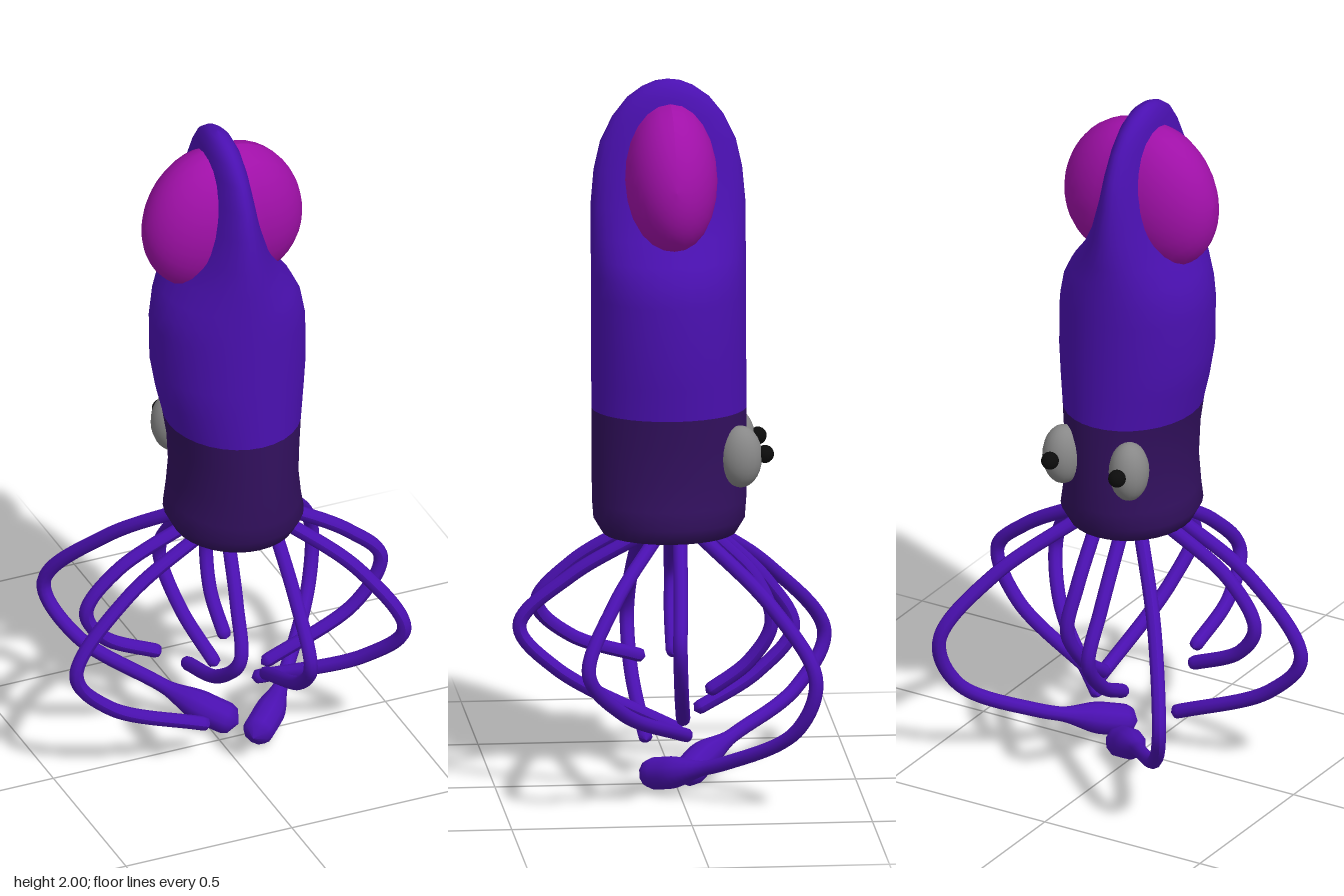
import * as THREE from 'three';

const mat = (color, side = THREE.FrontSide) => new THREE.MeshStandardMaterial({ color, side, roughness: 0.8 });
const purple = mat(0x4a10b0);
const darkPurple = mat(0x32105e);
const magenta = mat(0xa010a8, THREE.DoubleSide);
const eyeGrey = mat(0x888888);
const black = mat(0x0c0c0c);

function add(parent, name, geometry, material) {
  const mesh = new THREE.Mesh(geometry, material);
  mesh.name = name;
  parent.add(mesh);
  return mesh;
}

// Body rings, bottom to top: y, centre x, half width, half depth
const RINGS = [
  [0.715, 0.033, 0, 0], [0.715, 0.033, 0.12, 0.14], [0.728, 0.033, 0.17, 0.185],
  [0.77, 0.033, 0.192, 0.21], [0.82, 0.033, 0.182, 0.214], [0.9, 0.033, 0.173, 0.215],
  [1.0, 0.032, 0.178, 0.215], [1.08, 0.028, 0.188, 0.215], [1.17, 0.021, 0.204, 0.215],
  [1.26, 0.016, 0.216, 0.215], [1.4, 0.014, 0.216, 0.215], [1.46, 0.012, 0.206, 0.215],
  [1.51, 0.008, 0.185, 0.215], [1.57, 0, 0.147, 0.215], [1.65, -0.003, 0.108, 0.215],
  [1.75, -0.007, 0.08, 0.206], [1.83, -0.007, 0.063, 0.188], [1.9, -0.007, 0.052, 0.154],
  [1.95, -0.01, 0.044, 0.114], [1.98, -0.012, 0.032, 0.072], [1.994, -0.014, 0.018, 0.038],
  [2.0, -0.015, 0, 0],
];
const COLOUR_RING = 7; // the head ends and the mantle starts here
const SIDES = 32;
const BODY_Z = 0.02;

function addBody(group) {
  const positions = [];
  for (const [y, cx, rx, rz] of RINGS) {
    for (let j = 0; j < SIDES; j++) {
      const a = (j / SIDES) * Math.PI * 2;
      positions.push(cx + rx * Math.sin(a), y, BODY_Z + rz * Math.cos(a));
    }
  }
  const strip = (from, to) => {
    const index = [];
    for (let i = from; i < to; i++) {
      for (let j = 0; j < SIDES; j++) {
        const k = (j + 1) % SIDES;
        const a = i * SIDES + j, b = i * SIDES + k, c = a + SIDES, d = b + SIDES;
        index.push(a, b, d, a, d, c);
      }
    }
    return index;
  };
  // Both parts share vertices and normals, so the colour change has no crease
  const whole = new THREE.BufferGeometry();
  whole.setAttribute('position', new THREE.Float32BufferAttribute(positions, 3));
  whole.setIndex(strip(0, RINGS.length - 1));
  whole.computeVertexNormals();
  const head = whole.clone().setIndex(strip(0, COLOUR_RING));
  const mantle = whole.clone().setIndex(strip(COLOUR_RING, RINGS.length - 1));
  add(group, 'head', head, darkPurple);
  add(group, 'mantle', mantle, purple);
}

// Fin: half ellipsoid bulging outwards, its lower end leaning out
function addFin(group, side) {
  const geo = new THREE.SphereGeometry(1, 24, 10, 0, Math.PI * 2, 0, Math.PI / 2);
  geo.rotateZ(-side * Math.PI / 2);
  geo.scale(0.178, 0.208, 0.128);
  const p = geo.attributes.position;
  for (let i = 0; i < p.count; i++) p.setX(i, p.getX(i) - side * 0.12 * p.getY(i));
  geo.computeVertexNormals();
  add(group, side > 0 ? 'leftFin' : 'rightFin', geo, magenta).position.set(side * 0.054, 1.732, 0.017);
}

function addEye(group, side) {
  const eye = new THREE.Group();
  eye.name = side > 0 ? 'leftEye' : 'rightEye';
  eye.position.set(0.035 + side * 0.106, 0.96, -0.168);
  eye.rotation.y = -side * 0.3;
  add(eye, 'eyeball', new THREE.SphereGeometry(1, 20, 14), eyeGrey).scale.set(0.056, 0.087, 0.06);
  add(eye, 'pupil', new THREE.SphereGeometry(0.025, 14, 10), black).position.set(-side * 0.018, 0.006, -0.065);
  group.add(eye);
}

// Tube along a curve with rounded ends and, for long tentacles, a club at the tip
function tentacleGeometry(points, club) {
  const curve = new THREE.CatmullRomCurve3(points.map((p) => new THREE.Vector3(...p)), false, 'centripetal');
  const segments = 72, sides = 10;
  const geo = new THREE.TubeGeometry(curve, segments, 1, sides);
  const p = geo.attributes.position;
  const length = curve.getLength();
  const v = new THREE.Vector3();
  for (let i = 0; i <= segments; i++) {
    const u = i / segments;
    const centre = curve.getPointAt(u);
    let r = 0.02;
    if (club) r += 0.025 * THREE.MathUtils.smoothstep(u, 0.82, 0.92);
    const cap = Math.min(1, ((1 - u) * length) / r);
    r *= Math.sqrt(1 - (1 - cap) ** 2);
    for (let j = 0; j <= sides; j++) {
      const n = i * (sides + 1) + j;
      v.fromBufferAttribute(p, n).sub(centre).multiplyScalar(r).add(centre);
      p.setXYZ(n, v.x, v.y, v.z);
    }
  }
  geo.computeVertexNormals();
  return geo;
}

// Each path runs from the head, out to the elbow and back in to the tip
const LONG_TENTACLES = [
  [[-0.04, 0.74, -0.06], [-0.22, 0.56, -0.28], [-0.335, 0.34, -0.445], [-0.27, 0.2, -0.36], [-0.11, 0.115, -0.18], [-0.02, 0.07, -0.08], [0.065, 0.03, -0.015]],
  [[0.12, 0.74, -0.05], [0.32, 0.57, -0.24], [0.43, 0.39, -0.35], [0.4, 0.24, -0.3], [0.26, 0.12, -0.12], [0.15, 0.07, 0.01], [0.06, 0.045, 0.095]],
];
const ARMS = [
  [[0, 0.74, -0.08], [-0.035, 0.56, -0.26], [-0.037, 0.43, -0.33], [-0.02, 0.31, -0.23], [0.015, 0.21, -0.05]],
  [[0.08, 0.74, -0.08], [0.065, 0.59, -0.22], [0.073, 0.47, -0.26], [0.06, 0.36, -0.2], [0.055, 0.27, -0.08]],
  [[0.14, 0.74, 0], [0.38, 0.6, 0.02], [0.473, 0.5, 0.03], [0.4, 0.36, 0.02], [0.13, 0.21, -0.01]],
  [[0.13, 0.74, 0.06], [0.33, 0.59, 0.2], [0.435, 0.42, 0.28], [0.36, 0.29, 0.18], [0.11, 0.16, -0.03]],
  [[0.115, 0.74, 0.1], [0.095, 0.62, 0.3], [0.083, 0.48, 0.44], [0.1, 0.36, 0.34], [0.14, 0.18, -0.01]],
  [[-0.02, 0.74, 0.1], [-0.07, 0.62, 0.28], [-0.1, 0.5, 0.375], [-0.125, 0.4, 0.28], [-0.135, 0.33, 0.07]],
  [[-0.06, 0.74, 0.06], [-0.31, 0.59, 0.08], [-0.47, 0.38, 0.09], [-0.37, 0.25, 0.09], [-0.06, 0.11, 0.075]],
  [[-0.07, 0.74, 0], [-0.3, 0.62, -0.015], [-0.39, 0.5, -0.025], [-0.34, 0.41, -0.02], [-0.17, 0.325, -0.01]],
];

export function createModel() {
  const model = new THREE.Group();
  model.name = 'squid';
  addBody(model);
  for (const side of [1, -1]) {
    addFin(model, side);
    addEye(model, side);
  }
  LONG_TENTACLES.forEach((path, i) => add(model, `longTentacle${i + 1}`, tentacleGeometry(path, true), purple));
  ARMS.forEach((path, i) => add(model, `arm${i + 1}`, tentacleGeometry(path, false), purple));
  return model;
}
